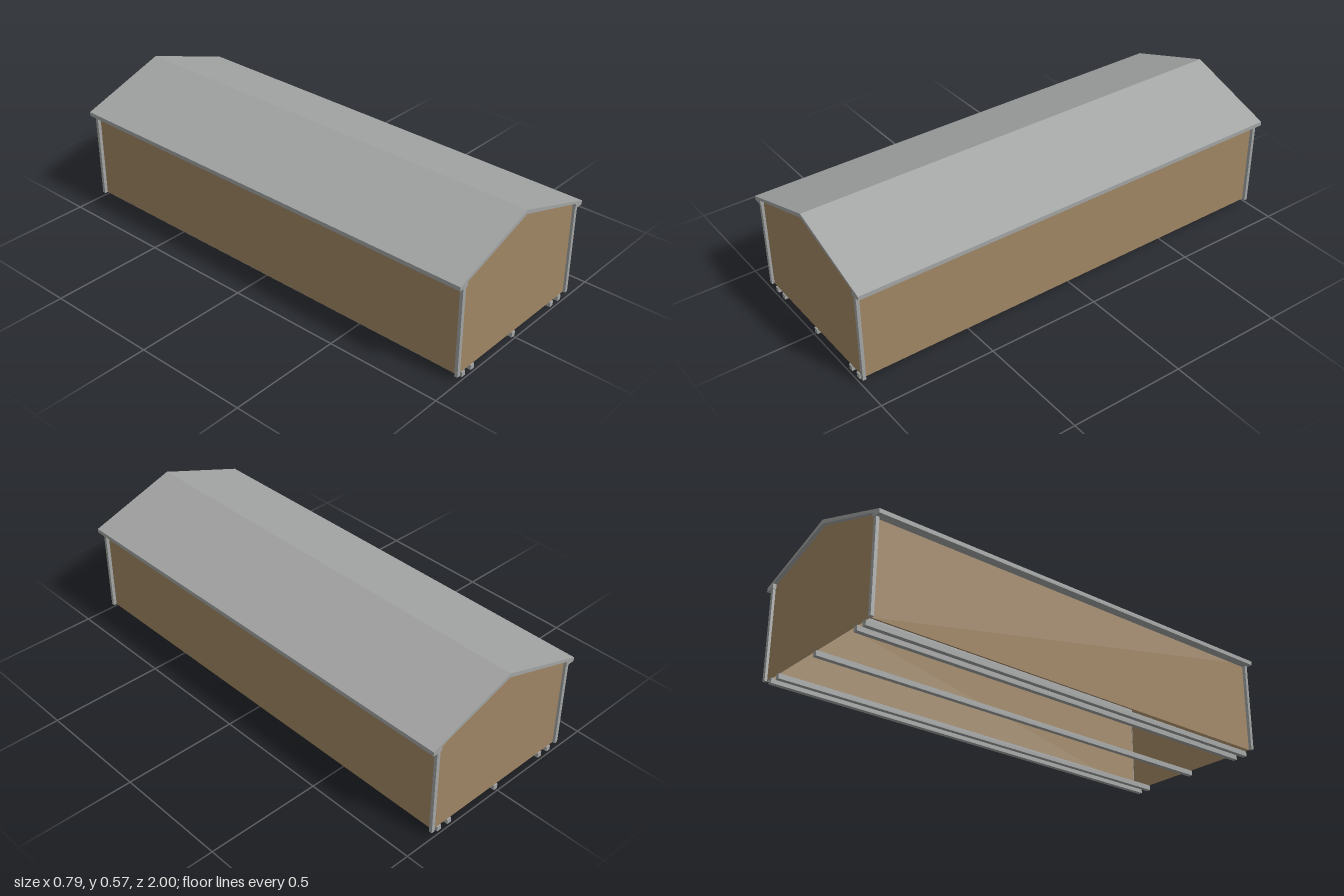
import * as THREE from 'three';

const brown = new THREE.MeshStandardMaterial({ color: 0x9f8564, side: THREE.DoubleSide });
brown.name = 'tan wall';
const gray = new THREE.MeshStandardMaterial({ color: 0xa2a3a3 });
gray.name = 'gray trim';

const WALL_X = 0.353, WALL_Z = 0.985, FLOOR = 0.022, EAVE = 0.434, PEAK = 0.551;

function add(parent, name, geometry, material, x = 0, y = 0, z = 0) {
  const mesh = new THREE.Mesh(geometry, material);
  mesh.name = name;
  mesh.position.set(x, y, z);
  parent.add(mesh);
  return mesh;
}

function shapeOf(points) {
  return new THREE.Shape(points.map(([x, y]) => new THREE.Vector2(x, y)));
}

// Flat rectangular panel running the length of the building between two profile points
function panel([x0, y0], [x1, y1]) {
  const g = new THREE.PlaneGeometry(1, 1);
  const z = WALL_Z;
  g.setAttribute('position', new THREE.Float32BufferAttribute(
    [x1, y1, z, x1, y1, -z, x0, y0, z, x0, y0, -z], 3));
  g.computeVertexNormals();
  return g;
}

export function createModel() {
  const model = new THREE.Group();
  model.name = 'shed';

  // Thin-walled shell, open underneath
  const shell = new THREE.Group();
  shell.name = 'shell';
  model.add(shell);
  const profile = [[WALL_X, FLOOR], [WALL_X, EAVE], [0, PEAK], [-WALL_X, EAVE], [-WALL_X, FLOOR]];
  const names = ['leftWall', 'leftCeiling', 'rightCeiling', 'rightWall'];
  names.forEach((name, i) => add(shell, name, panel(profile[i], profile[i + 1]), brown));
  const gable = new THREE.ShapeGeometry(shapeOf(profile));
  add(shell, 'frontWall', gable, brown, 0, 0, WALL_Z);
  add(shell, 'backWall', gable, brown, 0, 0, -WALL_Z).rotation.y = Math.PI;

  // Gabled roof with boxed eaves
  const roof = new THREE.ExtrudeGeometry(shapeOf([
    [0.393, 0.418], [0.393, 0.436], [0, 0.571], [-0.393, 0.436], [-0.393, 0.418],
    [-0.349, 0.418], [-0.349, 0.437], [0, 0.553], [0.349, 0.440], [0.349, 0.418],
  ]), { depth: 2, bevelEnabled: false });
  add(model, 'roof', roof, gray, 0, 0, -1);

  // Corner posts
  const postHeight = 0.42 - FLOOR;
  const post = new THREE.BoxGeometry(0.016, postHeight, 0.014);
  for (const sx of [-1, 1]) for (const sz of [-1, 1]) {
    add(model, 'cornerPost', post, gray, sx * 0.36, FLOOR + postHeight / 2, sz * 0.989);
  }

  // Skids under the floor
  const skid = new THREE.BoxGeometry(0.02, FLOOR, 1.98);
  for (const x of [-0.321, -0.266, 0, 0.265, 0.32]) {
    add(model, 'skid', skid, gray, x, FLOOR / 2, 0);
  }
  return model;
}
